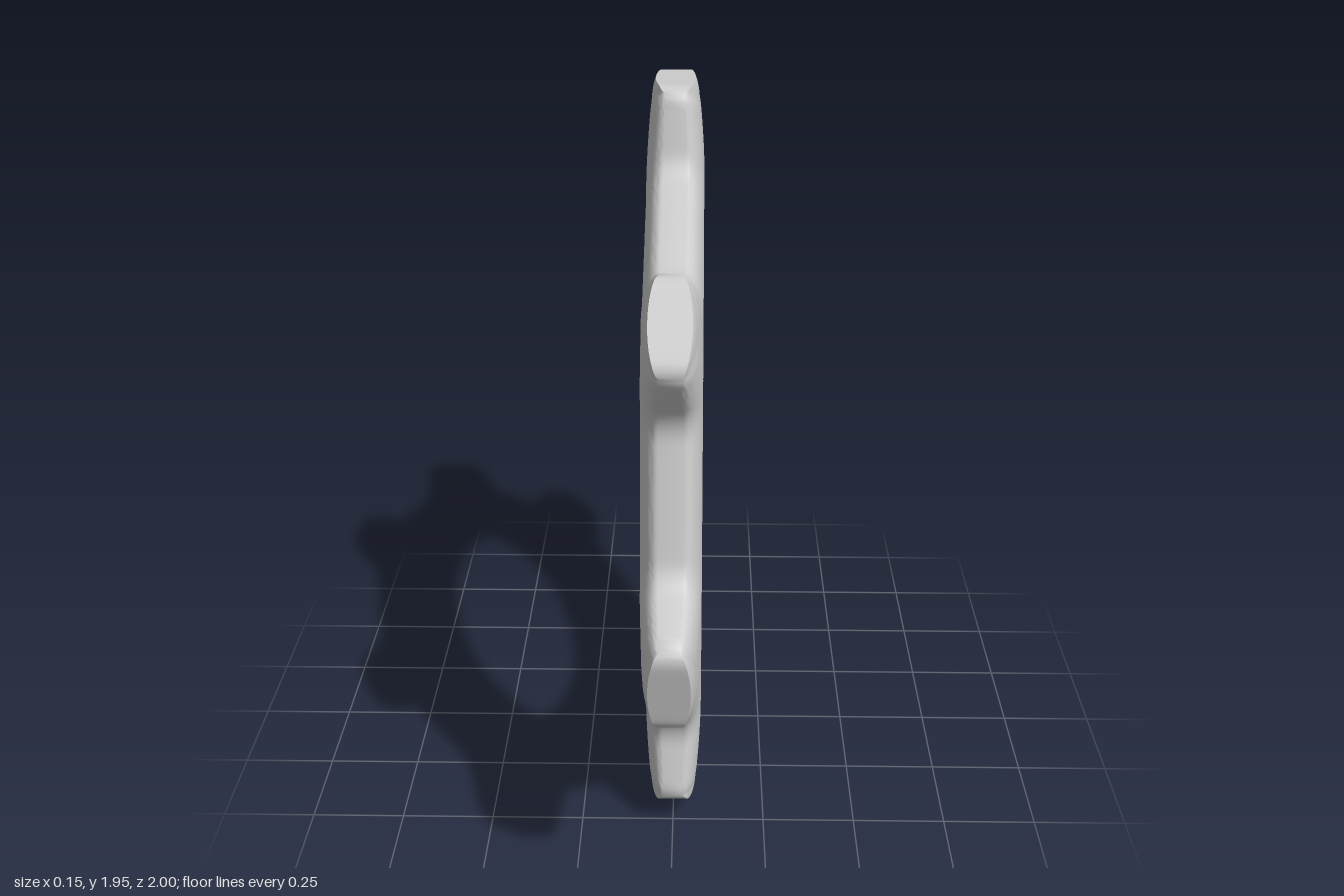
import * as THREE from 'three';
import { toCreasedNormals } from 'three/addons/utils/BufferGeometryUtils.js';

const TEETH = 7, PITCH = (2 * Math.PI) / TEETH;
const CENTER_Y = 0.95, HOLE_R = 0.515, HALF = 0.075, EDGE = 0.03;

const turn = ([a, b], t) => [a * Math.cos(t) + b * Math.sin(t), b * Math.cos(t) - a * Math.sin(t)];
const lerp2 = (p, q, t) => [p[0] + (q[0] - p[0]) * t, p[1] + (q[1] - p[1]) * t];

// Closed gear contour with rounded corners; every contour gets the same number of points.
function contour(base, tip, baseCut, tipCut) {
  const corners = [];
  for (let i = 0; i < TEETH; i++) {
    const add = (a, b, cut) => corners.push({ p: turn([a, b], i * PITCH), cut, tooth: i });
    add(-base[0], base[1], baseCut);
    add(-tip[0], tip[1], tipCut);
    add(tip[0], tip[1], tipCut);
    add(base[0], base[1], baseCut);
  }
  const n = corners.length, pts = [];
  const toward = (p, q, cut) => {
    const len = Math.hypot(q[0] - p[0], q[1] - p[1]);
    return lerp2(p, q, Math.min(cut, 0.45 * len) / len);
  };
  corners.forEach((c, k) => {
    const prev = corners[(k + n - 1) % n], next = corners[(k + 1) % n];
    const s = toward(c.p, prev.p, c.cut), e = toward(c.p, next.p, c.cut);
    for (let i = 0; i < 8; i++) {
      const t = i / 8;
      pts.push({ p: lerp2(lerp2(s, c.p, t), lerp2(c.p, e, t), t), tooth: c.tooth });
    }
    const stop = toward(next.p, c.p, next.cut);
    for (let i = 0; i < 8; i++) pts.push({ p: lerp2(e, stop, i / 8), tooth: c.tooth });
  });
  return pts;
}

// Half thickness: rounded toward the flanks, tapering toward the tooth tips.
function halfThickness(p, tooth, s) {
  const [w, u] = turn(p, -tooth * PITCH);
  const x = THREE.MathUtils.clamp((u - 0.74) / 0.265, 0, 1);
  const taper = 1 - 0.24 * x ** 1.6 - 0.08 * x ** 16;
  const oval = Math.sqrt(Math.max(0, 1 - (w / 0.122) ** 2));
  const flank = Math.sqrt(1 - (1 - s) ** 2);
  const f = Math.max(flank, oval * THREE.MathUtils.smoothstep(u, 0.84, 0.96));
  return taper * (EDGE + (HALF - EDGE) * f);
}

function gearGeometry() {
  const outer = contour([0.172, 0.8], [0.126, 1.005], 0.055, 0.045);
  const inner = contour([0.105, 0.71], [0.04, 0.925], 0.05, 0.02);
  const n = outer.length, rings = [];

  // Rings from the bore out to the rim, on the +x face
  for (let k = 0; k < 6; k++) {
    rings.push(inner.map(({ p, tooth }) => {
      const r = Math.hypot(...p);
      const q = lerp2([p[0] * HOLE_R / r, p[1] * HOLE_R / r], p, k / 6);
      return [halfThickness(q, tooth, 1), ...q];
    }));
  }
  for (let k = 10; k >= 0; k--) {
    const s = (k / 10) ** 2;
    rings.push(outer.map(({ p, tooth }, j) => {
      const q = lerp2(p, inner[j].p, s);
      return [halfThickness(q, tooth, s), ...q];
    }));
  }
  // Mirrored rings back to the bore close the section
  const loop = [...rings, ...rings.slice().reverse().map(r => r.map(([h, a, b]) => [-h, a, b]))];

  const pos = [], index = [], m = loop.length;
  loop.forEach(r => r.forEach(([h, a, b]) => pos.push(h, b + CENTER_Y, a)));
  for (let i = 0; i < m; i++) {
    for (let j = 0; j < n; j++) {
      const i2 = (i + 1) % m, j2 = (j + 1) % n;
      const a = i * n + j, b = i2 * n + j, c = i2 * n + j2, d = i * n + j2;
      index.push(a, b, d, b, c, d);
    }
  }
  const g = new THREE.BufferGeometry();
  g.setAttribute('position', new THREE.Float32BufferAttribute(pos, 3));
  g.setIndex(index);
  return toCreasedNormals(g, 0.75);
}

export function createModel() {
  const group = new THREE.Group();
  group.name = 'gear';
  const wheel = new THREE.Mesh(gearGeometry(), new THREE.MeshStandardMaterial({ color: 0xcccccc }));
  wheel.name = 'toothedRing';
  group.add(wheel);
  return group;
}
